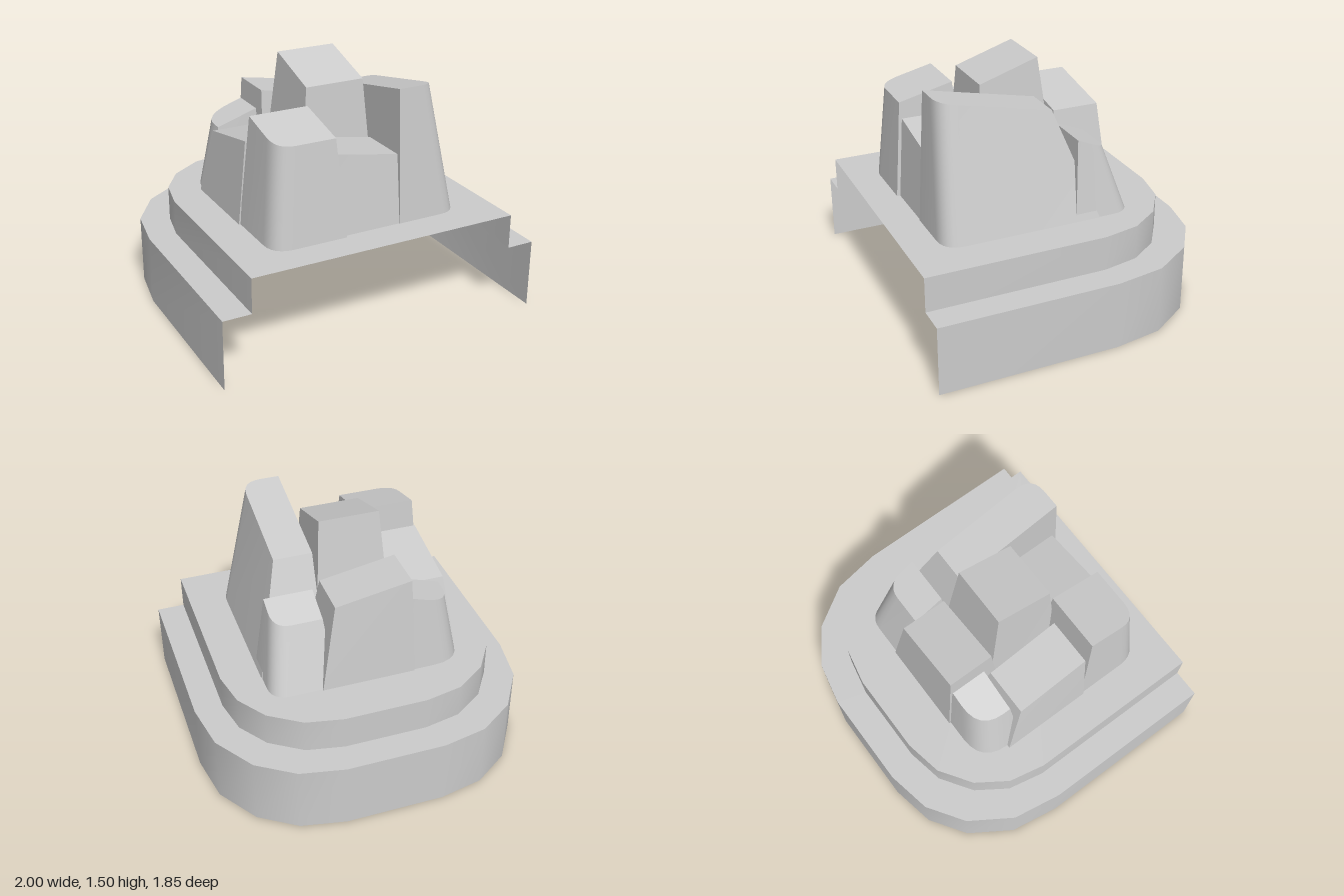
import * as THREE from 'three';
import { toCreasedNormals } from 'three/addons/utils/BufferGeometryUtils.js';

const material = new THREE.MeshStandardMaterial({ color: 0xcccccc, side: THREE.DoubleSide });
const BASE_Y = 0.63;

// Skin a stack of equal-length rings (counter-clockwise from above) and cap the last one.
function loft(name, rings, closed) {
  const pos = [];
  const tri = (...pts) => pts.forEach((p) => pos.push(...p));
  const n = rings[0].length;
  for (let r = 0; r < rings.length - 1; r++) {
    const lo = rings[r], hi = rings[r + 1];
    for (let i = 0; i < (closed ? n : n - 1); i++) {
      const j = (i + 1) % n;
      tri(lo[i], lo[j], hi[j]);
      tri(lo[i], hi[j], hi[i]);
    }
  }
  const top = rings[rings.length - 1];
  for (let i = 1; i < n - 1; i++) tri(top[0], top[i], top[i + 1]);
  const geo = new THREE.BufferGeometry();
  geo.setAttribute('position', new THREE.Float32BufferAttribute(pos, 3));
  const mesh = new THREE.Mesh(toCreasedNormals(geo, 0.6), material);
  mesh.name = name;
  return mesh;
}

// Rectangle outline [x0, x1, z0, z1] with one corner optionally rounded.
function outline([x0, x1, z0, z1], corner, radius) {
  const c = [[x0, z0], [x0, z1], [x1, z1], [x1, z0]].map((p) => new THREE.Vector2(...p));
  return c.flatMap((p, i) => {
    if (i !== corner) return [p];
    const toward = (q) => p.clone().add(q.clone().sub(p).setLength(radius));
    const a = toward(c[(i + 3) % 4]), b = toward(c[(i + 1) % 4]);
    return new THREE.QuadraticBezierCurve(a, p, b).getPoints(6);
  });
}

// Tapered block with a slanted top; heights run from the low to the high end of the axis.
function block({ name, base, top, axis, heights, corner = -1, radius = 0 }) {
  const [lo, hi] = axis === 'x' ? [top[0], top[1]] : [top[2], top[3]];
  const height = (p) => THREE.MathUtils.mapLinear(axis === 'x' ? p.x : p.y, lo, hi, ...heights);
  return loft(name, [
    outline(base, corner, radius).map((p) => [p.x, BASE_Y, p.y]),
    outline(top, corner, radius * 0.9).map((p) => [p.x, height(p), p.y]),
  ], true);
}

// Mirror a half outline, running from the front of +x round the back to -x.
function tier(half, y) {
  const mirrored = half.map(([x, z]) => [-x, z]).reverse();
  return [...half, ...mirrored].map(([x, z]) => [x, y, z]);
}

export function createModel() {
  const group = new THREE.Group();
  group.name = 'blockCluster';

  // Stepped base shell, open at the front and below
  const outer = [[1, 0.92], [1, -0.17], [0.95, -0.47], [0.79, -0.72], [0.57, -0.87], [0.3, -0.925]];
  const inner = [[0.83, 0.92], [0.83, -0.17], [0.785, -0.39], [0.665, -0.57], [0.475, -0.7], [0.25, -0.745]];
  group.add(loft('steppedBase', [
    tier(outer, 0), tier(outer, 0.42), tier(inner, 0.42), tier(inner, BASE_Y),
  ], false));

  // Cluster of slanted blocks; corner 0 back right, 1 front right, 2 front left, 3 back left
  [
    { name: 'frontRightBlock', base: [-0.61, -0.155, 0.29, 0.73], top: [-0.56, -0.2, 0.34, 0.675],
      axis: 'z', heights: [1.29, 1.21], corner: 1, radius: 0.13 },
    { name: 'frontMiddleBlock', base: [-0.2, 0.38, 0.33, 0.71], top: [-0.19, 0.2, 0.36, 0.665],
      axis: 'x', heights: [1.11, 1.04] },
    { name: 'tallLeftBlock', base: [0.2, 0.6, -0.25, 0.715], top: [0.2, 0.435, -0.01, 0.67],
      axis: 'z', heights: [1.28, 1.425], corner: 2, radius: 0.13 },
    { name: 'middleRightBlock', base: [-0.62, -0.22, -0.27, 0.3], top: [-0.57, -0.28, -0.16, 0.3],
      axis: 'z', heights: [1.04, 1.13] },
    { name: 'centreBlock', base: [-0.26, 0.23, -0.16, 0.37], top: [-0.195, 0.17, -0.045, 0.315],
      axis: 'z', heights: [1.505, 1.39] },
    { name: 'backRightBlock', base: [-0.6, -0.24, -0.46, -0.17], top: [-0.52, -0.27, -0.42, -0.2],
      axis: 'x', heights: [1.04, 1.12], corner: 0, radius: 0.19 },
    { name: 'backMiddleBlock', base: [-0.28, 0.29, -0.47, -0.08], top: [-0.26, 0.2, -0.425, -0.14],
      axis: 'x', heights: [1.25, 1.17] },
    { name: 'backLeftBlock', base: [0.2, 0.595, -0.46, -0.1], top: [0.24, 0.535, -0.32, -0.13],
      axis: 'z', heights: [1.03, 1.11], corner: 3, radius: 0.12 },
  ].forEach((spec) => group.add(block(spec)));

  return group;
}
